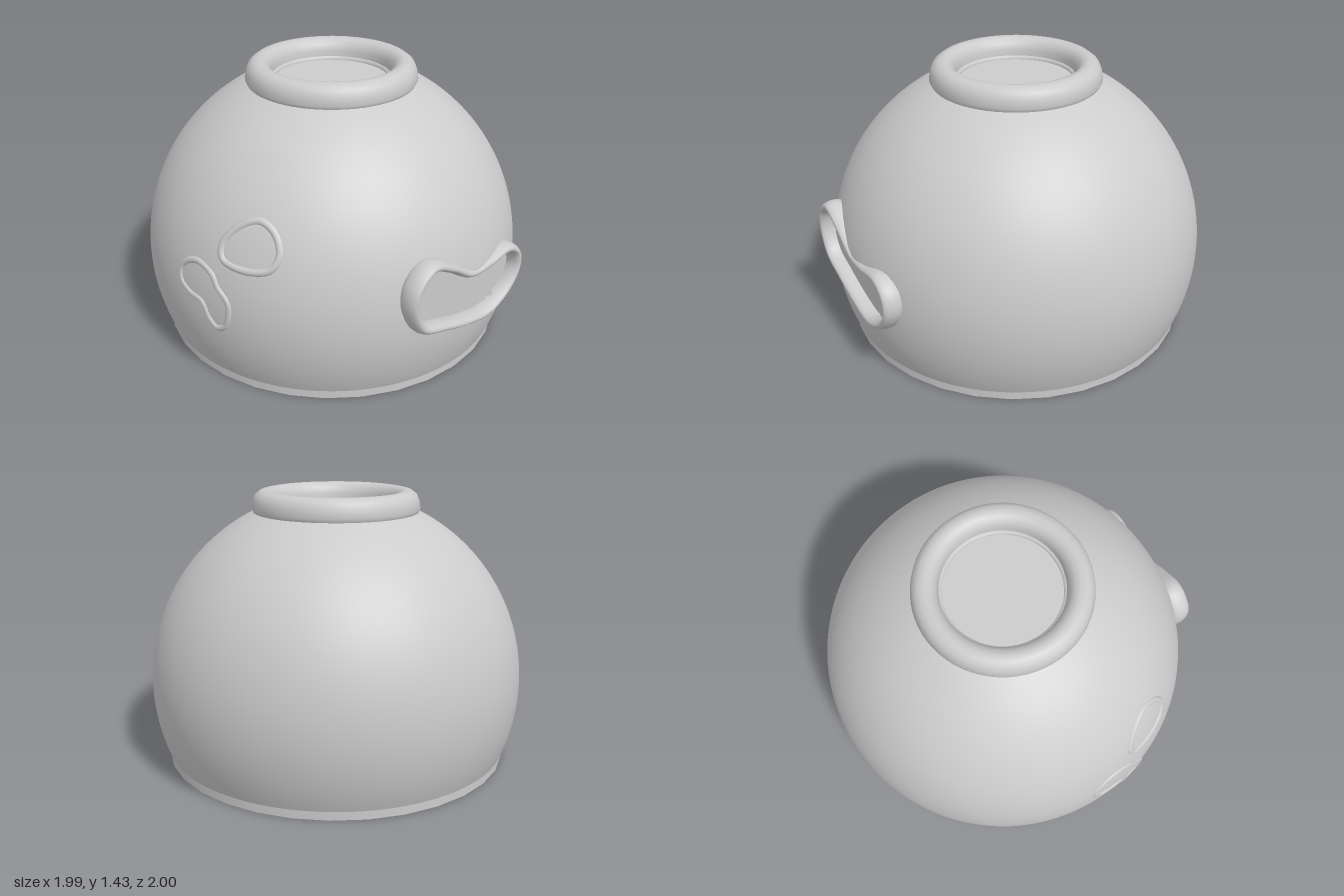
import * as THREE from 'three';

const material = new THREE.MeshStandardMaterial({ color: 0xcccccc });
const CENTER_Y = 0.42;

function addMesh(group, name, geometry) {
  const mesh = new THREE.Mesh(geometry, material);
  mesh.name = name;
  group.add(mesh);
  return mesh;
}

const vectors = (points) => points.map(([x, y]) => new THREE.Vector2(x, y));

// Closed tube through 3D points
function loopTube(points, radius, segments) {
  const curve = new THREE.CatmullRomCurve3(points, true, 'centripetal');
  return new THREE.TubeGeometry(curve, segments, radius, 14, true);
}

// Side rim outline as (z, y)
const sideOutline = [
  [0.39, 0.55], [0.37, 0.655], [0.275, 0.725], [0.14, 0.67], [-0.01, 0.58],
  [-0.15, 0.58], [-0.3, 0.6], [-0.38, 0.55], [-0.395, 0.46], [-0.33, 0.36],
  [-0.18, 0.285], [-0.02, 0.3], [0.17, 0.355], [0.33, 0.42],
];

// Front rim outlines as (x, y)
const upperOutline = [
  [0.355, 0.915], [0.435, 0.877], [0.485, 0.79], [0.463, 0.72],
  [0.355, 0.695], [0.237, 0.72], [0.217, 0.785], [0.275, 0.877],
];
const lowerOutline = [
  [0.1, 0.665], [0.195, 0.63], [0.23, 0.58], [0.293, 0.515], [0.298, 0.445],
  [0.275, 0.38], [0.225, 0.358], [0.18, 0.4], [0.14, 0.47], [0.06, 0.487],
  [-0.008, 0.525], [-0.018, 0.59], [0.025, 0.64],
];

function isInside(px, py, outline) {
  let inside = false;
  outline.forEach(([ax, ay], i) => {
    const [bx, by] = outline[(i + 1) % outline.length];
    if ((ay > py) !== (by > py) && px < ((bx - ax) * (py - ay)) / (by - ay) + ax) inside = !inside;
  });
  return inside;
}

// Spherical shell, pressed flat inside the side rim
function shellGeometry() {
  const profile = [];
  const from = Math.asin(-0.375), to = Math.asin(0.91);
  for (let i = 0; i <= 64; i++) {
    const a = from + ((to - from) * i) / 64;
    profile.push([0.996 * Math.cos(a), CENTER_Y + 0.996 * Math.sin(a)]);
  }
  const geometry = new THREE.LatheGeometry(vectors(profile), 192);
  const { position, normal } = geometry.attributes;
  for (let i = 0; i < position.count; i++) {
    const x = position.getX(i);
    if (x > 0.92 && isInside(position.getZ(i), position.getY(i), sideOutline)) {
      position.setX(i, 0.92);
      normal.setXYZ(i, 1, 0, 0);
    }
  }
  return geometry;
}

export function createModel() {
  const model = new THREE.Group();
  model.name = 'domedVessel';

  addMesh(model, 'shell', shellGeometry());

  // Straight foot band and closed underside
  addMesh(model, 'baseBand', new THREE.LatheGeometry(vectors([[0.92, 0], [0.92, 0.055]]), 32));
  const underside = addMesh(model, 'underside', new THREE.CircleGeometry(0.92, 32));
  underside.rotation.x = Math.PI / 2;

  // Rounded collar with a stepped, closed mouth
  addMesh(model, 'collar', new THREE.LatheGeometry(vectors([
    [0.435, 1.315], [0.445, 1.335], [0.438, 1.375], [0.425, 1.405], [0.4, 1.424],
    [0.37, 1.43], [0.342, 1.422], [0.32, 1.4], [0.31, 1.37], [0.308, 1.338],
  ]), 64));
  addMesh(model, 'mouthStep', new THREE.LatheGeometry(vectors([
    [0.315, 1.338], [0.295, 1.338], [0.295, 1.318],
  ]), 64));
  const floor = addMesh(model, 'mouthFloor', new THREE.CircleGeometry(0.3, 64));
  floor.rotation.x = -Math.PI / 2;
  floor.position.y = 1.32;

  // Large side rim: a flat loop, deepened along x
  const sideRim = loopTube(sideOutline.map(([z, y]) => new THREE.Vector3(0, y, z)), 0.026, 128);
  sideRim.scale(2.2, 1, 1);
  addMesh(model, 'sideRim', sideRim).position.x = 0.935;

  // Small front rims that follow the shell
  const onShell = ([x, y]) => new THREE.Vector3(x, y, Math.sqrt(0.985 ** 2 - x * x - (y - CENTER_Y) ** 2));
  addMesh(model, 'upperFrontRim', loopTube(upperOutline.map(onShell), 0.021, 80));
  addMesh(model, 'lowerFrontRim', loopTube(lowerOutline.map(onShell), 0.02, 96));

  return model;
}
